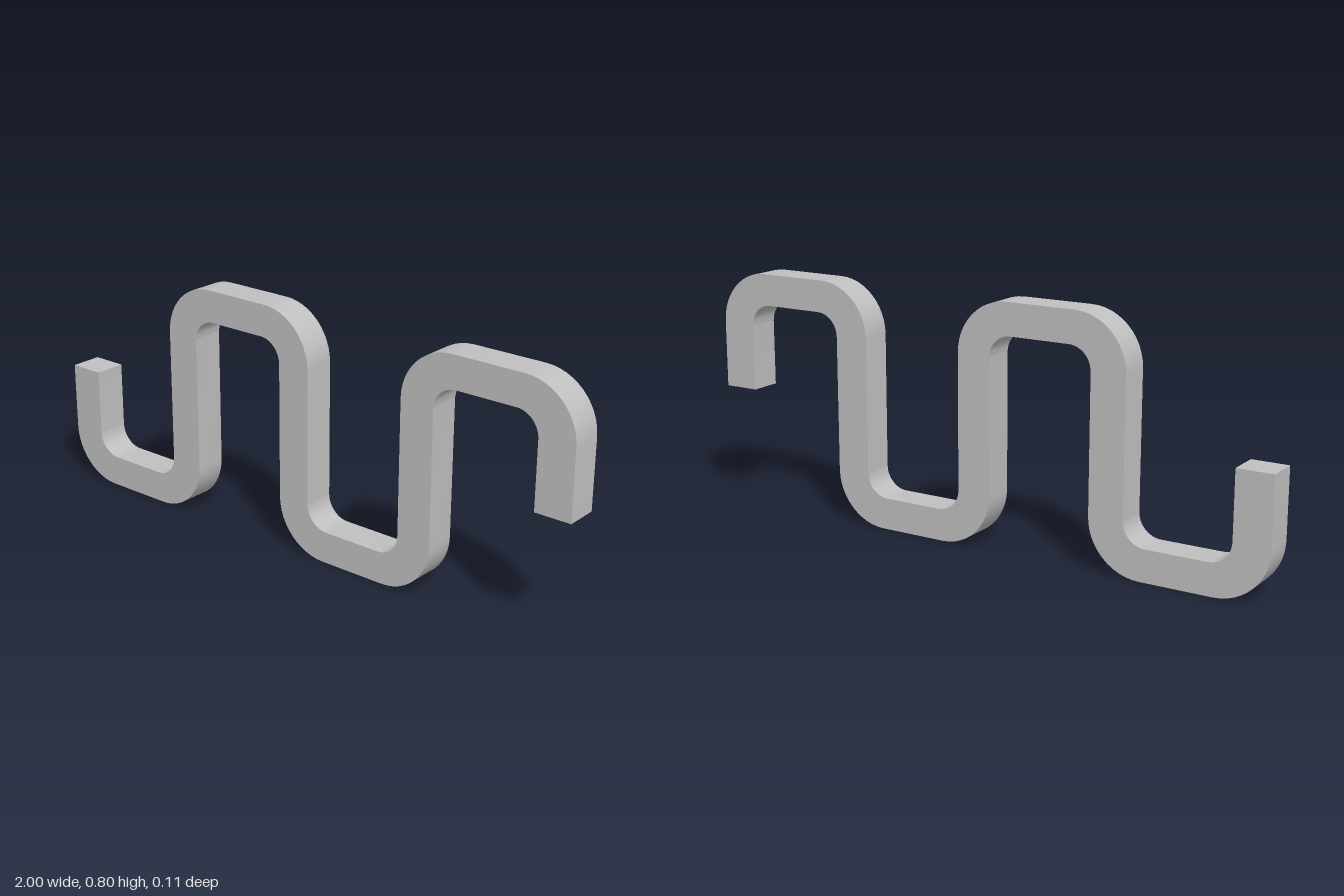
import * as THREE from 'three';
import { toCreasedNormals } from 'three/addons/utils/BufferGeometryUtils.js';

const DEPTH = 0.108, OUTER = 0.175, INNER = 0.075;

// Corners of one edge of the band, [x, y, radius]; the other edge is its half turn
const edge = [
  [-1, 0.4, 0], [-1, 0, OUTER], [-0.41, 0, OUTER],
  [-0.41, 0.695, INNER], [-0.057, 0.695, INNER],
  [-0.057, 0, OUTER], [0.527, 0, OUTER],
  [0.527, 0.695, INNER], [0.88, 0.695, INNER], [0.88, 0.4, 0],
];

// Closed shape with each corner rounded by its own radius
function roundedShape(corners) {
  const shape = new THREE.Shape();
  const n = corners.length;
  const toward = (a, b, d) => {
    const len = Math.hypot(b[0] - a[0], b[1] - a[1]);
    return [a[0] + (b[0] - a[0]) * d / len, a[1] + (b[1] - a[1]) * d / len];
  };
  corners.forEach((c, i) => {
    const r = c[2];
    if (!r) {
      if (i === 0) shape.moveTo(c[0], c[1]);
      else shape.lineTo(c[0], c[1]);
      return;
    }
    const prev = corners[(i + n - 1) % n], next = corners[(i + 1) % n];
    const start = toward(c, prev, r), end = toward(c, next, r);
    shape.lineTo(...start);
    shape.bezierCurveTo(...toward(c, prev, r * 0.45), ...toward(c, next, r * 0.45), ...end);
  });
  shape.closePath();
  return shape;
}

export function createModel() {
  const group = new THREE.Group();
  group.name = 'serpentineBar';
  const grey = new THREE.MeshStandardMaterial({ color: 0xbfbfbf });
  grey.name = 'grey';

  // Winding square bar
  const outline = edge.concat(edge.map(([x, y, r]) => [-x, 0.8 - y, r]));
  const extruded = new THREE.ExtrudeGeometry(roundedShape(outline), {
    depth: DEPTH, bevelEnabled: false, curveSegments: 12,
  });
  extruded.translate(0, 0, -DEPTH / 2);
  extruded.clearGroups();
  const bar = new THREE.Mesh(toCreasedNormals(extruded, 0.6), grey);
  bar.name = 'windingBar';
  group.add(bar);
  return group;
}
